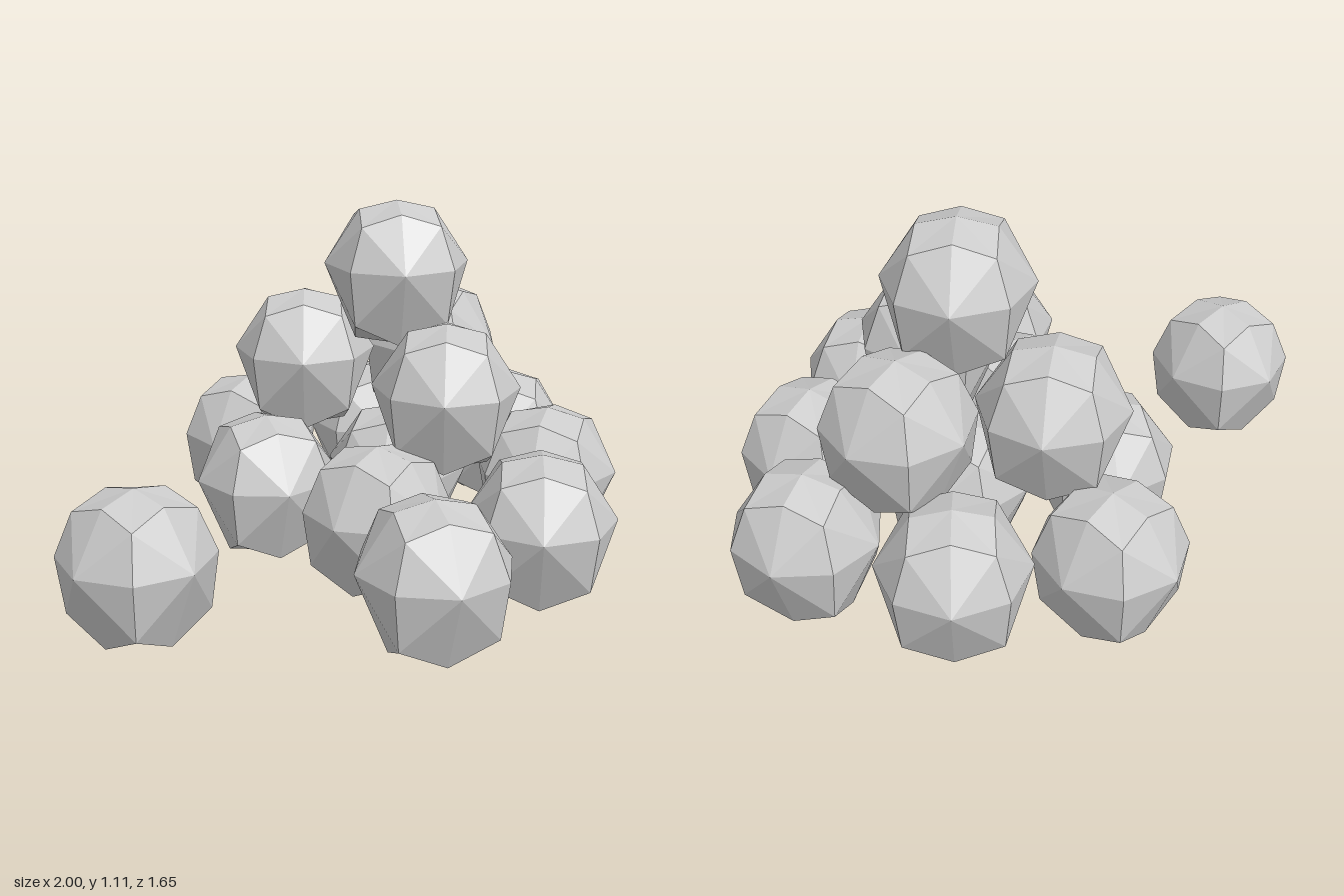
import * as THREE from 'three';

// Faceted ball: three rings of eight points and two poles, joined as 24 quads.
function ballGeometry() {
  // [latitude, radius] for even and odd points of each ring, bottom to top
  const rings = [
    [[-58, 0.24], [-34, 0.24]],
    [[9, 0.225], [9, 0.225]],
    [[60, 0.23], [44, 0.235]],
  ];
  const pos = [];
  for (const ring of rings) {
    for (let k = 0; k < 8; k++) {
      const [lat, r] = ring[k % 2];
      const a = k * Math.PI / 4, b = THREE.MathUtils.degToRad(lat);
      pos.push(r * Math.cos(b) * Math.sin(a), r * Math.sin(b), r * Math.cos(b) * Math.cos(a));
    }
  }
  pos.push(0, -0.225, 0, 0, 0.225, 0);
  const bottom = 24, top = 25;
  const id = (ring, k) => ring * 8 + (k % 8);
  const index = [];
  const quad = (a, b, c, d) => index.push(a, b, c, a, c, d);

  // side belts
  for (let ring = 0; ring < 2; ring++) {
    for (let k = 0; k < 8; k++) {
      const q = [id(ring, k), id(ring, k + 1), id(ring + 1, k + 1), id(ring + 1, k)];
      // split each quad from its cube corner to the face centre
      if ((k + ring) % 2) quad(...q);
      else quad(q[1], q[2], q[3], q[0]);
    }
  }
  // caps
  for (let k = 0; k < 8; k += 2) {
    quad(top, id(2, k), id(2, k + 1), id(2, k + 2));
    quad(bottom, id(0, k + 2), id(0, k + 1), id(0, k));
  }
  const g = new THREE.BufferGeometry();
  g.setAttribute('position', new THREE.Float32BufferAttribute(pos, 3));
  g.setIndex(index);
  const flat = g.toNonIndexed();
  flat.computeVertexNormals();
  return flat;
}

export function createModel() {
  const model = new THREE.Group();
  model.name = 'ballPile';
  const material = new THREE.MeshStandardMaterial({ color: 0xcccccc, flatShading: true });
  const geometry = ballGeometry();

  // each ball: x, y, z, spin in degrees
  const layers = {
    looseBall: [[-0.78, 0.235, 0.03, 10]],
    baseBall: [
      [0.09, 0.235, -0.62, 20], [0.5, 0.235, -0.46, 60], [0.78, 0.235, -0.11, 40],
      [0.59, 0.235, 0.27, 30], [0.25, 0.235, 0.56, 45], [-0.22, 0.235, 0.61, 65],
      [-0.06, 0.235, 0.2, 15], [-0.13, 0.235, -0.24, 70], [0.27, 0.225, -0.08, 35],
    ],
    middleBall: [[0.12, 0.575, -0.36, 50], [0.52, 0.57, -0.2, 25], [0.21, 0.555, 0.2, 45]],
    topBall: [[0.26, 0.88, -0.08, 55]],
  };

  for (const [name, balls] of Object.entries(layers)) {
    balls.forEach(([x, y, z, spin], i) => {
      const ball = new THREE.Mesh(geometry, material);
      ball.name = balls.length > 1 ? `${name}${i + 1}` : name;
      ball.position.set(x, y, z);
      ball.rotation.y = THREE.MathUtils.degToRad(spin);
      model.add(ball);
    });
  }
  return model;
}
